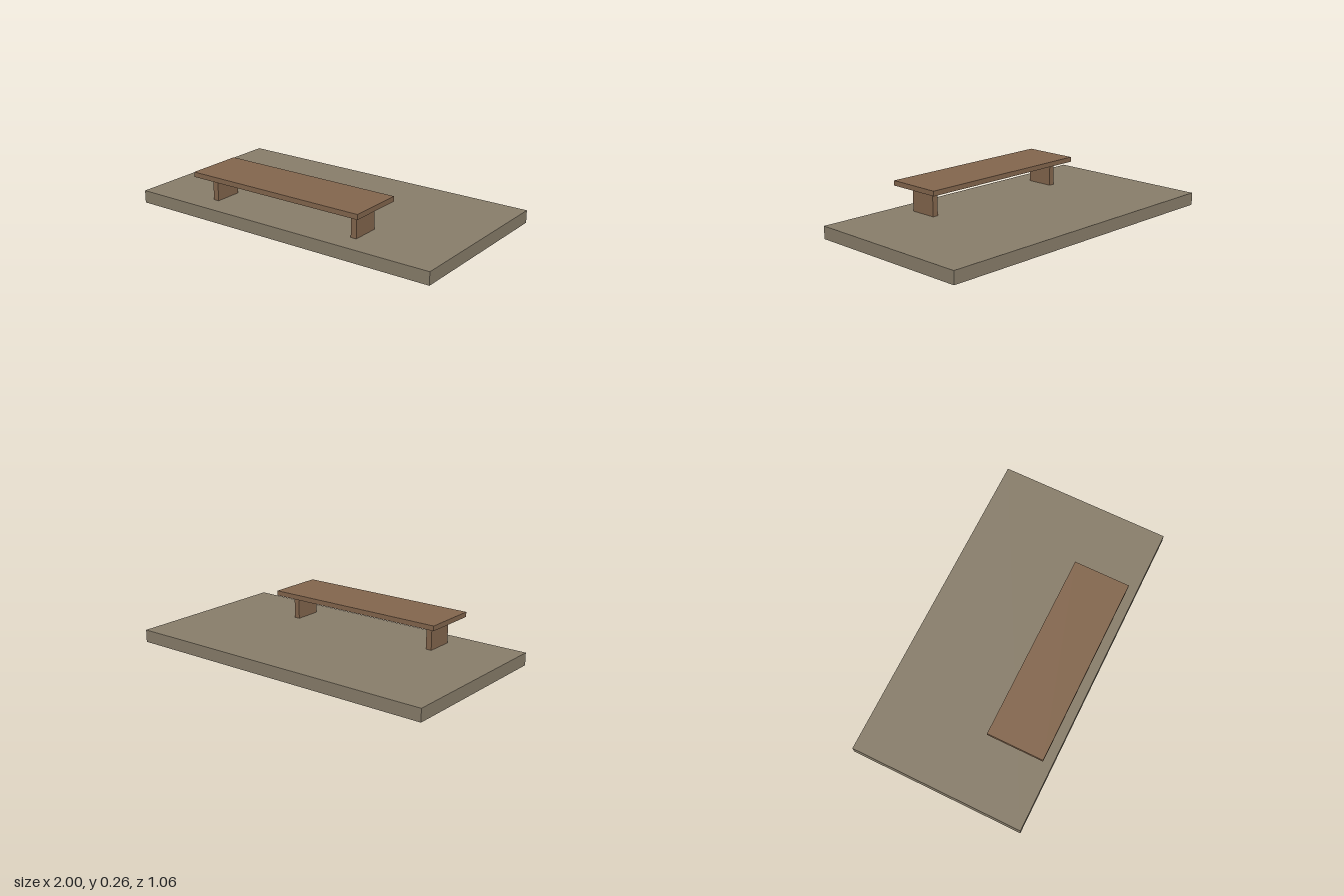
import * as THREE from 'three';

export function createModel() {
  const model = new THREE.Group();
  const stone = new THREE.MeshStandardMaterial({ color: 0x887d6a });
  stone.name = 'stone';
  const wood = new THREE.MeshStandardMaterial({ color: 0x83664d });
  wood.name = 'wood';

  // Adds a box resting on height y
  function addBox(parent, name, material, [w, h, d], x, y, z) {
    const mesh = new THREE.Mesh(new THREE.BoxGeometry(w, h, d), material);
    mesh.name = name;
    mesh.position.set(x, y + h / 2, z);
    parent.add(mesh);
  }

  // Ground slab
  const slabHeight = 0.076;
  addBox(model, 'slab', stone, [2, slabHeight, 1.062], 0, 0, 0);

  // Low bench, set towards the front of the slab
  const bench = new THREE.Group();
  bench.name = 'bench';
  bench.position.set(-0.048, slabHeight, 0.314);
  model.add(bench);

  const legHeight = 0.151;
  addBox(bench, 'seat', wood, [1.156, 0.03, 0.344], 0, legHeight, 0);
  for (const [name, side] of [['leftLeg', 1], ['rightLeg', -1]]) {
    addBox(bench, name, wood, [0.036, legHeight, 0.172], side * 0.493, 0, 0);
  }

  return model;
}
